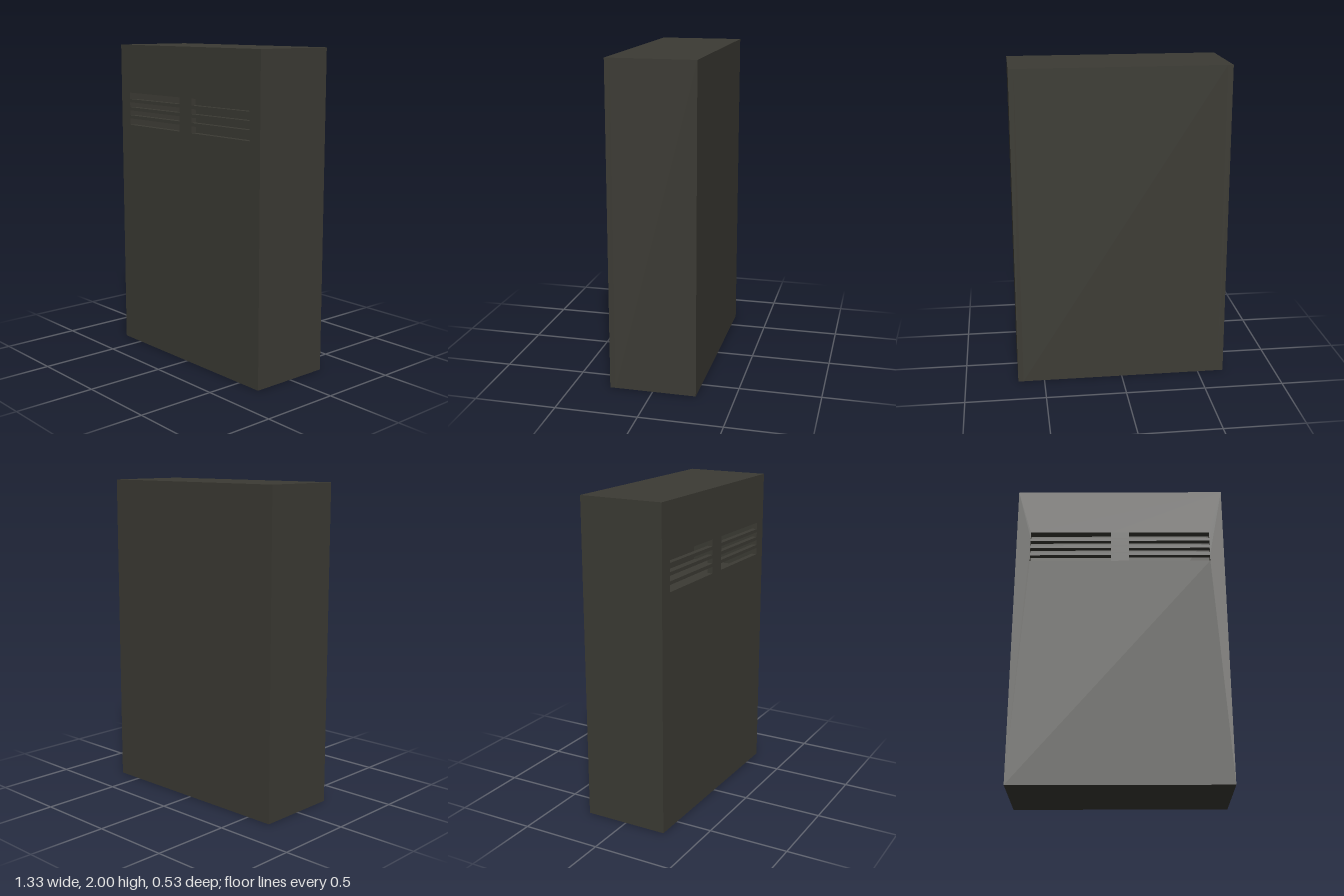
import * as THREE from 'three';

const W = 1.334, H = 2, D = 0.534, T = 0.034;

export function createModel() {
  const cabinet = new THREE.Group();
  cabinet.name = 'cabinet';
  const paint = new THREE.MeshStandardMaterial({ color: 0x3c3b34 });
  paint.name = 'dark olive paint';

  const add = (name, geometry, x, y, z) => {
    const mesh = new THREE.Mesh(geometry, paint);
    mesh.name = name;
    mesh.position.set(x, y, z);
    cabinet.add(mesh);
  };
  const panel = (name, w, h, d, x, y, z) =>
    add(name, new THREE.BoxGeometry(w, h, d), x, y, z);

  // Hollow shell: the side, back, top and bottom panels meet without overlap
  for (const [name, s] of [['leftSide', 1], ['rightSide', -1]]) {
    panel(name, T, H, D - T, s * (W - T) / 2, H / 2, -T / 2);
  }
  const innerW = W - 2 * T;
  panel('back', innerW, H, T, 0, H / 2, (T - D) / 2);
  const innerD = D - 2 * T;
  panel('top', innerW, T, innerD, 0, H - T / 2, 0);
  panel('bottom', innerW, T, innerD, 0, T / 2, 0);

  // Shelf visible through the vents
  panel('shelf', innerW, T, innerD, 0, 1.38 - T / 2, 0);

  // Front panel with two banks of four open vent slots
  const rectangle = (path, x0, y0, x1, y1) => {
    path.moveTo(x0, y0);
    path.lineTo(x1, y0);
    path.lineTo(x1, y1);
    path.lineTo(x0, y1);
    path.closePath();
    return path;
  };
  const front = rectangle(new THREE.Shape(), -W / 2, 0, W / 2, H);
  const slots = [[1.479, 1.521], [1.542, 1.574], [1.595, 1.627], [1.648, 1.69]];
  for (const x of [-0.577, 0.058]) {
    for (const [y0, y1] of slots) {
      front.holes.push(rectangle(new THREE.Path(), x, y0, x + 0.519, y1));
    }
  }
  add('ventedFront', new THREE.ExtrudeGeometry(front, { depth: T, bevelEnabled: false }),
    0, 0, D / 2 - T);

  return cabinet;
}
